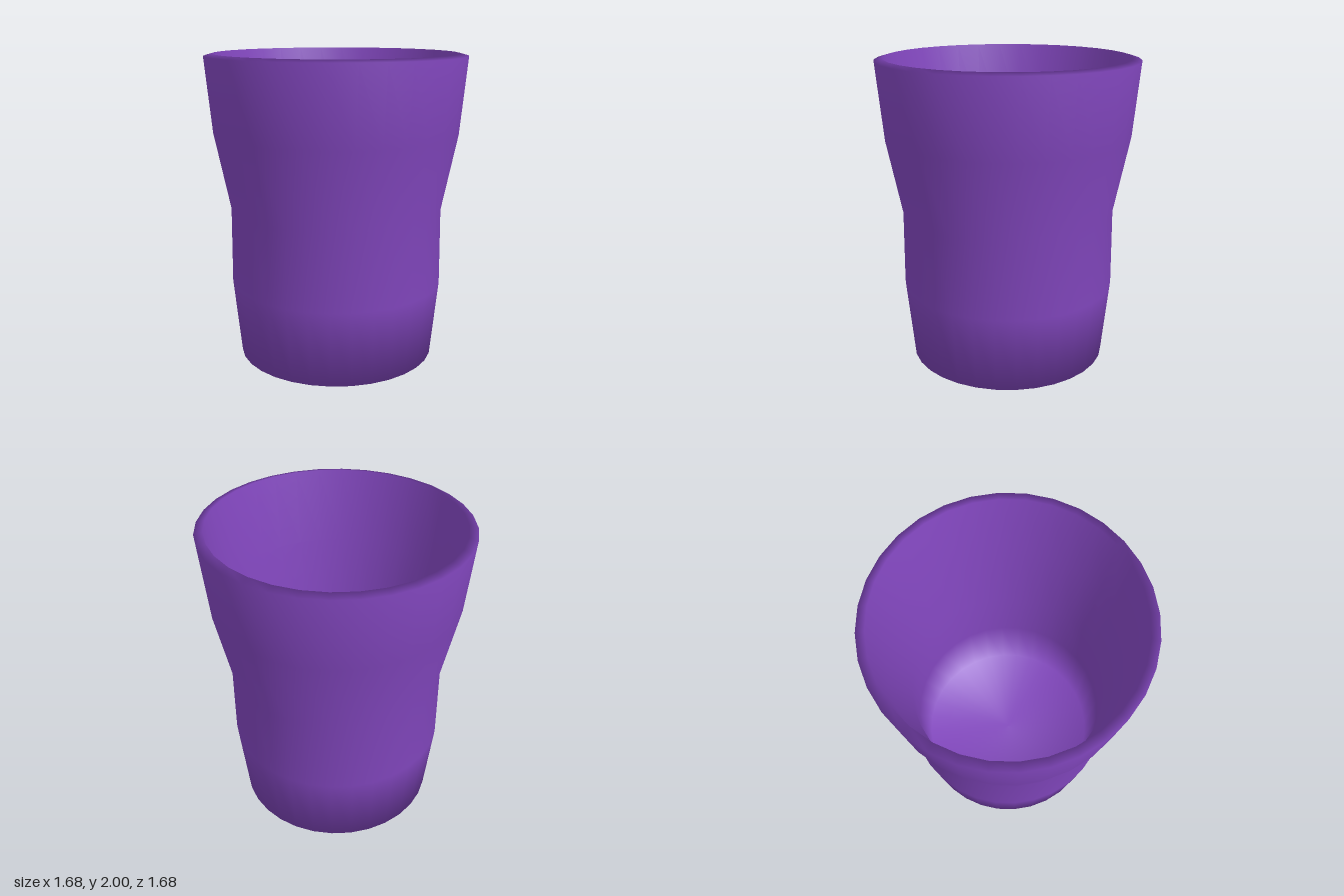
import * as THREE from 'three';

export function createModel() {
  const group = new THREE.Group();
  const purple = new THREE.MeshStandardMaterial({ color: 0x8146bd });
  purple.name = 'purple';

  // Closed profile: base centre, outer wall, sloped rim, inner wall, inner floor
  const profile = [
    [0, 0], [0.65, 0], [0.7, 0.5], [0.695, 1], [0.795, 1.5], [0.84, 1.985],
    [0.785, 2], [0.74, 1.5], [0.64, 1], [0.645, 0.5], [0.6, 0.05], [0, 0.05],
  ].map(([r, y]) => new THREE.Vector2(r, y));

  const cup = new THREE.Mesh(new THREE.LatheGeometry(profile, 32), purple);
  cup.name = 'cup';
  group.add(cup);
  return group;
}
